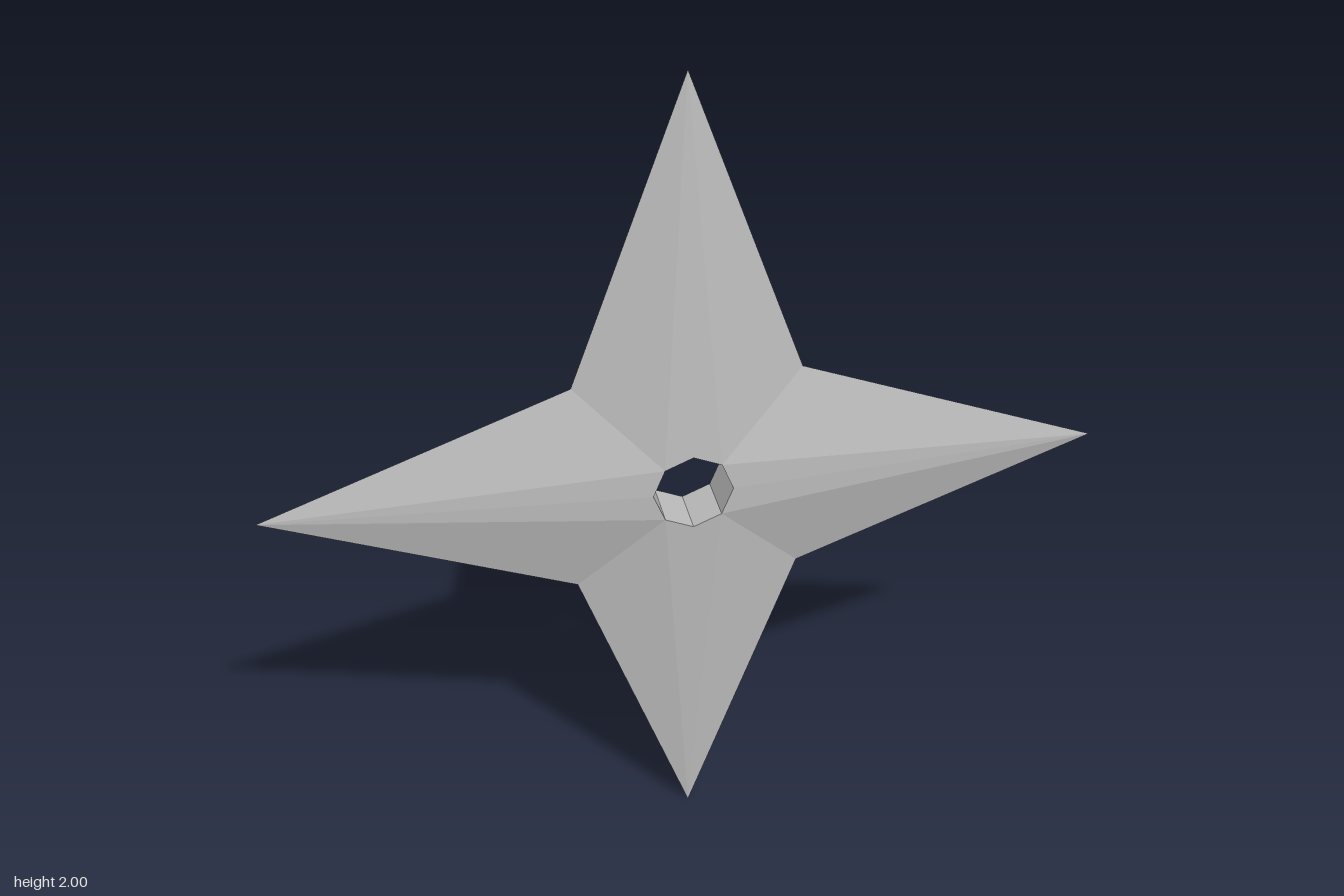
import * as THREE from 'three';

const TIP = 1, NOTCH = 0.382, HOLE = 0.095, HALF = 0.067;

// Point at a radius and a step of 45 degrees
const polar = (radius, step, z) => {
  const a = (step * Math.PI) / 4;
  return [radius * Math.cos(a), radius * Math.sin(a), z];
};

function build(triangles) {
  const g = new THREE.BufferGeometry();
  g.setAttribute('position', new THREE.Float32BufferAttribute(triangles.flat(2), 3));
  g.computeVertexNormals();
  return g;
}

// One bevelled face: each spike falls from the hole rim to a sharp edge at z = 0
function bladeFace(side) {
  const tris = [];
  const add = (a, b, c) => tris.push(side > 0 ? [a, b, c] : [a, c, b]);
  for (let k = 0; k < 8; k += 2) {
    const tip = polar(TIP, k, 0);
    const rim = [-1, 0, 1].map((d) => polar(HOLE, k + d, side * HALF));
    add(tip, rim[1], rim[0]);
    add(tip, rim[2], rim[1]);
    add(tip, polar(NOTCH, k + 1, 0), rim[2]);
    add(tip, rim[0], polar(NOTCH, k - 1, 0));
  }
  return build(tris);
}

// Octagonal hole wall, facing the axis
function holeWall() {
  const tris = [];
  for (let k = 0; k < 8; k++) {
    const a = polar(HOLE, k, HALF), b = polar(HOLE, k + 1, HALF);
    const c = polar(HOLE, k + 1, -HALF), d = polar(HOLE, k, -HALF);
    tris.push([a, b, c], [a, c, d]);
  }
  return build(tris);
}

export function createModel() {
  const group = new THREE.Group();
  group.name = 'throwingStar';
  const steel = new THREE.MeshStandardMaterial({ color: 0xbcbcbc });
  steel.name = 'steel';
  steel.flatShading = true;

  const parts = { frontBlades: bladeFace(1), backBlades: bladeFace(-1), centreHole: holeWall() };
  for (const [name, geometry] of Object.entries(parts)) {
    const mesh = new THREE.Mesh(geometry, steel);
    mesh.name = name;
    mesh.position.y = 1;
    group.add(mesh);
  }
  return group;
}
